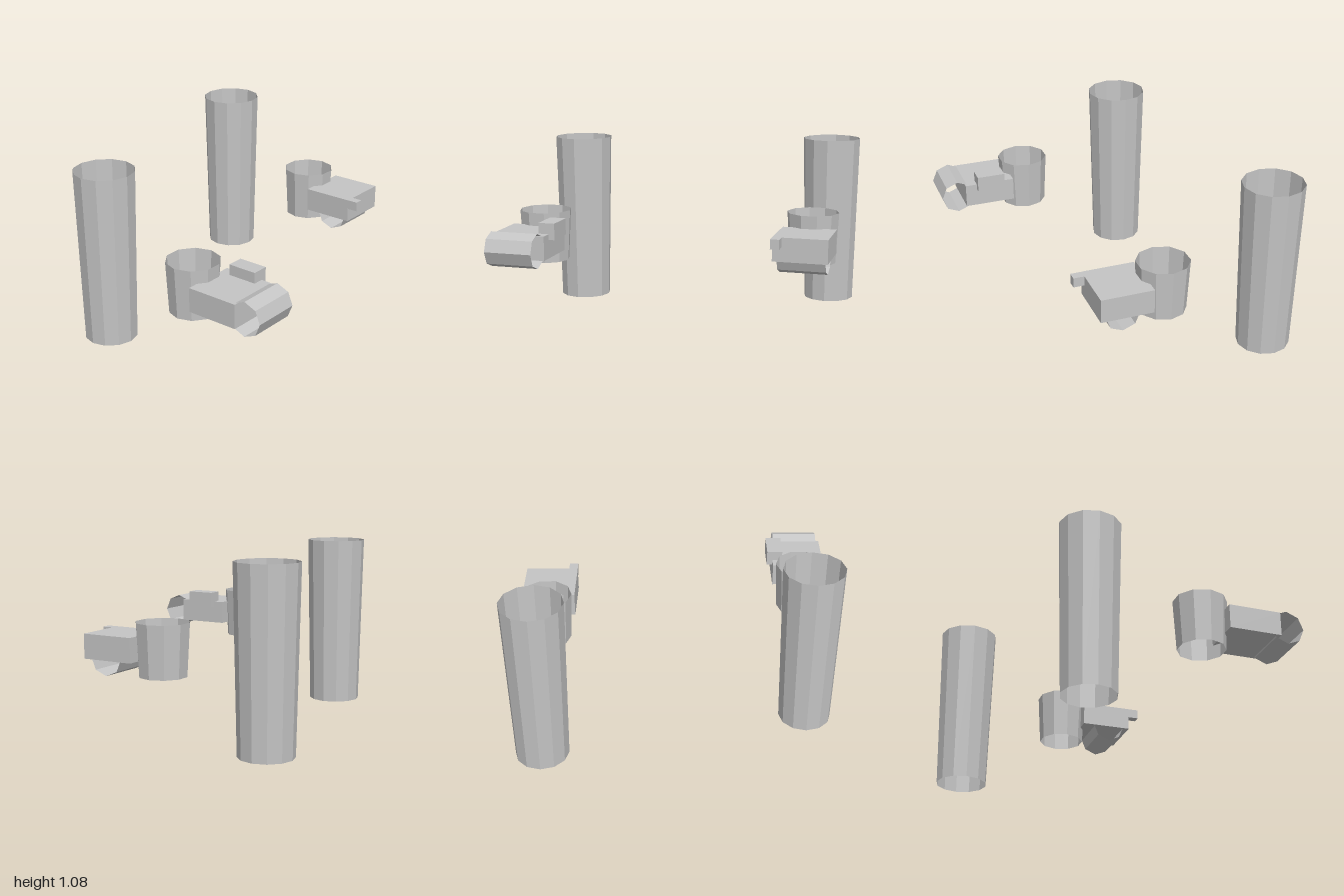
import * as THREE from 'three';

export function createModel() {
  const model = new THREE.Group();
  const grey = new THREE.MeshStandardMaterial({ color: 0xc4c4c4, flatShading: true, side: THREE.DoubleSide });
  grey.name = 'light grey';

  function add(parent, name, geometry, x, y, z) {
    const mesh = new THREE.Mesh(geometry, grey);
    mesh.name = name;
    mesh.position.set(x, y, z);
    parent.add(mesh);
  }

  // Open-ended faceted tube
  const tube = (rTop, rBottom, height, sides, start = 0) =>
    new THREE.CylinderGeometry(rTop, rBottom, height, sides, 1, true, start);

  // Box from its minimum and maximum corners
  function addBox(parent, name, [x0, y0, z0], [x1, y1, z1]) {
    add(parent, name, new THREE.BoxGeometry(x1 - x0, y1 - y0, z1 - z0),
      (x0 + x1) / 2, (y0 + y1) / 2, (z0 + z1) / 2);
  }

  // Each side: tall sleeve, wrist cuff, palm, curled fingers and thumb
  const sides = [
    {
      name: 'rightArm', x: -0.813, sleeveZ: -0.365, cuffZ: 0.315, palmZ: [0.427, 0.75],
      fingers: [0.54, 0.8], thumb: [[-0.71, 0.585, 0.495], [-0.61, 0.685, 0.675]],
    },
    {
      name: 'leftArm', x: 0.81, sleeveZ: -0.725, cuffZ: -0.047, palmZ: [0.067, 0.39],
      fingers: [0.485, 0.25], thumb: [[0.645, 0.56, 0.38], [0.7, 0.62, 0.457]],
    },
  ];

  for (const s of sides) {
    const arm = new THREE.Group();
    arm.name = s.name;
    add(arm, 'sleeve', tube(0.187, 0.163, 1.08, 12), s.x, 0.54, s.sleeveZ);
    add(arm, 'wristCuff', tube(0.161, 0.144, 0.315, 10, Math.PI / 2), s.x, 0.543, s.cuffZ);
    addBox(arm, 'palm', [s.x - 0.166, 0.473, s.palmZ[0]], [s.x + 0.166, 0.62, s.palmZ[1]]);
    add(arm, 'fingers', tube(0.105, 0.105, 0.292, 8).rotateZ(Math.PI / 2), s.x, ...s.fingers);
    addBox(arm, 'thumb', ...s.thumb);
    model.add(arm);
  }
  return model;
}
